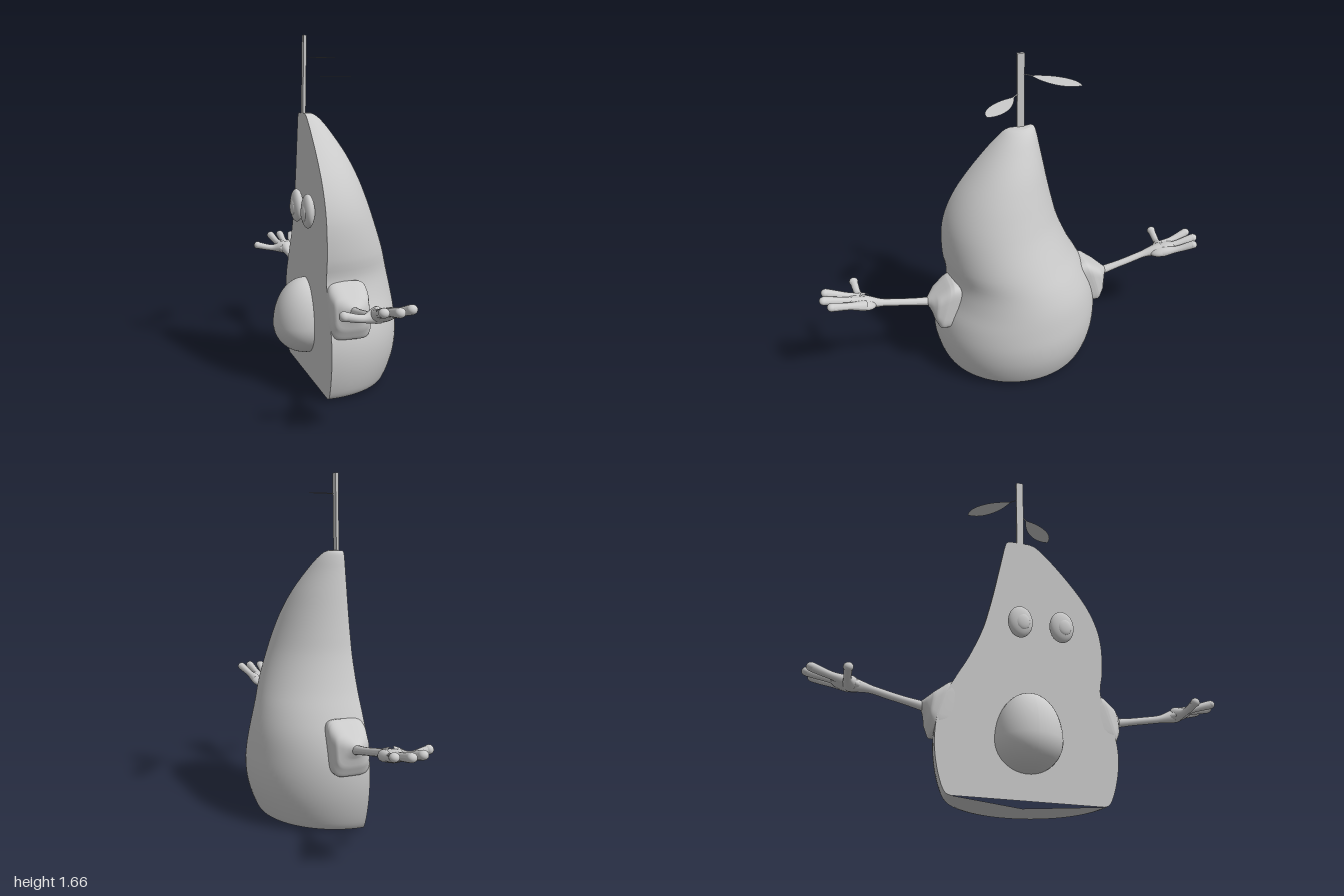
import * as THREE from 'three';
import { mergeVertices } from 'three/addons/utils/BufferGeometryUtils.js';

const V = (x, y, z) => new THREE.Vector3(x, y, z);
const material = new THREE.MeshStandardMaterial({ color: 0xcccccc, roughness: 0.7 });
const thin = new THREE.MeshStandardMaterial({ color: 0xcccccc, roughness: 0.7, side: THREE.DoubleSide });

function add(parent, name, geometry, mat = material) {
  const mesh = new THREE.Mesh(geometry, mat);
  mesh.name = name;
  parent.add(mesh);
  return mesh;
}

// Smooth grid surface from fn(u, v), u and v in 0..1
function sheet(nu, nv, fn) {
  const pos = [], idx = [];
  for (let j = 0; j <= nv; j++)
    for (let i = 0; i <= nu; i++) pos.push(...fn(i / nu, j / nv).toArray());
  for (let j = 0; j < nv; j++)
    for (let i = 0; i < nu; i++) {
      const a = j * (nu + 1) + i, b = a + nu + 1;
      idx.push(a, a + 1, b + 1, a, b + 1, b);
    }
  let g = new THREE.BufferGeometry();
  g.setAttribute('position', new THREE.Float32BufferAttribute(pos, 3));
  g.setIndex(idx);
  g = mergeVertices(g, 1e-5);
  g.computeVertexNormals();
  return g;
}

// Tube whose radius follows a list of values along its path
function limb(points, radii, segments = 24) {
  const curve = new THREE.CatmullRomCurve3(points);
  const g = new THREE.TubeGeometry(curve, segments, 1, 14);
  const p = g.attributes.position, v = V(0, 0, 0);
  for (let i = 0; i < p.count; i++) {
    const t = Math.floor(i / 15) / segments, c = curve.getPointAt(t);
    const f = t * (radii.length - 1), k = Math.min(Math.floor(f), radii.length - 2);
    const r = THREE.MathUtils.lerp(radii[k], radii[k + 1], THREE.MathUtils.smoothstep(f - k, 0, 1));
    v.fromBufferAttribute(p, i).sub(c).multiplyScalar(r).add(c);
    p.setXYZ(i, v.x, v.y, v.z);
  }
  g.computeVertexNormals();
  return g;
}

function ball(parent, name, c, rx, ry, rz) {
  const m = add(parent, name, new THREE.SphereGeometry(1, 32, 22));
  m.position.copy(c);
  m.scale.set(rx, ry, rz);
  return m;
}

// Body profile: height, +z edge, -z edge, furthest x
const profile = [
  [0.005, 0.355, -0.34, 0.20], [0.015, 0.38, -0.365, 0.228], [0.05, 0.40, -0.385, 0.25],
  [0.15, 0.427, -0.412, 0.285], [0.25, 0.435, -0.422, 0.297], [0.35, 0.42, -0.415, 0.29],
  [0.45, 0.38, -0.385, 0.275], [0.55, 0.358, -0.335, 0.25], [0.65, 0.372, -0.28, 0.218],
  [0.8, 0.37, -0.217, 0.162], [0.9, 0.345, -0.19, 0.127], [1.0, 0.295, -0.167, 0.09],
  [1.1, 0.22, -0.147, 0.045], [1.2, 0.13, -0.127, -0.015], [1.25, 0.078, -0.117, -0.05],
  [1.28, 0.04, -0.107, -0.08], [1.29, 0.01, -0.09, -0.1]
];
const edges = new THREE.CatmullRomCurve3(profile.map(([y, a, b]) => V(a, y, b)));
const back = new THREE.CatmullRomCurve3(profile.map(([y, , , x]) => V(x, y, 0)));
const faceX = y => -0.135 - 0.007 * y;

function bodyPoint(u, v) {
  const e = edges.getPoint(v), x0 = faceX(e.y), t = u * Math.PI;
  return V(x0 + (back.getPoint(v).x - x0) * Math.sin(t), e.y,
    (e.x + e.z) / 2 + (e.x - e.z) / 2 * Math.cos(t));
}

function buildBody(root) {
  const body = new THREE.Group();
  body.name = 'body';
  root.add(body);
  add(body, 'roundedSkin', sheet(48, 64, bodyPoint));
  add(body, 'flatFace', sheet(4, 64, (u, v) => bodyPoint(1, v).lerp(bodyPoint(0, v), u)));
  add(body, 'underside', sheet(48, 2, (u, v) => V(-0.02, 0, 0.01).lerp(bodyPoint(u, 0), v)));
  add(body, 'topCap', sheet(48, 2, (u, v) => bodyPoint(u, 1).lerp(V(-0.13, 1.291, -0.04), v)));
}

// Egg-shaped stone, taller above its widest line
function buildStone(root) {
  const g = new THREE.SphereGeometry(1, 40, 28), p = g.attributes.position;
  for (let i = 0; i < p.count; i++) {
    const y = p.getY(i);
    p.setXYZ(i, p.getX(i) * 0.155, y * (y > 0 ? 0.225 : 0.145), p.getZ(i) * 0.155);
  }
  g.computeVertexNormals();
  add(root, 'stone', g).position.set(-0.145, 0.27, 0);
}

function buildEyes(root) {
  for (const z of [-0.045, 0.16]) {
    const eye = new THREE.Group();
    eye.name = 'eye';
    root.add(eye);
    ball(eye, 'eyeball', V(-0.17, 0.845, z), 0.03, 0.08, 0.06);
    ball(eye, 'pupil', V(-0.19, 0.838, z + 0.006), 0.014, 0.042, 0.034);
  }
}

function buildStem(root) {
  const stem = add(root, 'stem', new THREE.BoxGeometry(0.014, 0.39, 0.035));
  stem.position.set(-0.133, 1.46, -0.037);
  stem.rotation.z = -0.018;
  for (const [y, z, tx, tz] of [[1.555, -0.045, 0.08, -0.255], [1.46, -0.025, 0.07, 0.18]]) {
    const dx = tx + 0.13, dz = tz - z, L = Math.hypot(dx, dz);
    // Outline: slim stalk, then a blade widest past the middle
    const s = new THREE.Shape();
    s.moveTo(0, -0.003);
    s.lineTo(0.05, -0.004);
    s.bezierCurveTo(0.12, -0.05, L - 0.05, -0.07, L, 0);
    s.bezierCurveTo(L - 0.05, 0.07, 0.12, 0.05, 0.05, 0.004);
    s.lineTo(0, 0.003);
    const g = new THREE.ShapeGeometry(s, 16);
    g.rotateX(-Math.PI / 2);
    g.rotateY(Math.atan2(-dz, dx));
    add(root, 'leaf', g, thin).position.set(-0.13, y, z);
  }
}

// Cuff rings: top z, top y, bottom z, bottom y, half width, squareness
const cuffRings = [
  [0.28, 0.54, 0.33, 0.30, 0.09, 0.4], [0.35, 0.55, 0.43, 0.302, 0.095, 0.4],
  [0.375, 0.54, 0.44, 0.31, 0.094, 0.45], [0.435, 0.495, 0.458, 0.35, 0.08, 0.55],
  [0.462, 0.475, 0.468, 0.39, 0.052, 0.8], [0.485, 0.457, 0.48, 0.415, 0.021, 1]
];

function buildArm(root, s) {
  const arm = new THREE.Group();
  arm.name = s > 0 ? 'leftArm' : 'rightArm';
  root.add(arm);
  const n = cuffRings.length - 1, cx = -0.045, drop = s > 0 ? 0 : 0.012;
  const soft = (c, e) => Math.sign(c) * Math.pow(Math.abs(c), e);
  add(arm, 'shoulderCuff', sheet(48, n * 4, (u, v) => {
    const f = v * n, k = Math.min(Math.floor(f), n - 1);
    const [tz, ty, bz, by, w, e] = cuffRings[k].map((a, i) => THREE.MathUtils.lerp(a, cuffRings[k + 1][i], f - k));
    const t = s * (u % 1) * Math.PI * 2, q = soft(Math.sin(t), e);
    return V(cx + w * soft(Math.cos(t), e), (ty + by) / 2 + q * (ty - by) / 2 - drop,
      s * ((tz + bz) / 2 + q * (tz - bz) / 2 - (s > 0 ? 0 : 0.012)));
  }));
  // Hand heights rise a little differently on each side
  const h = s > 0 ? [0.435, 0.487, 0.515, 0.548, 0.572] : [0.42, 0.477, 0.49, 0.508, 0.53];
  const P = (x, y, z) => V(x, y, s * z);
  add(arm, 'forearm', limb([P(cx, h[0], 0.45), P(-0.047, (h[0] + h[1]) / 2, 0.59),
    P(-0.05, h[1], 0.72), P(-0.045, h[2], 0.80)], [0.022, 0.018, 0.018, 0.034]));
  const palm = ball(arm, 'palm', P(-0.04, h[2], 0.805), 0.055, 0.028, 0.075);
  palm.rotation.x = -s * Math.atan2(h[3] - h[1], 0.16);
  // Three fingers
  for (const [bx, tx, tz] of [[-0.065, -0.093, 0.965], [-0.04, -0.033, 0.98], [-0.01, 0.028, 0.95]]) {
    const tip = P(tx, h[4], tz);
    add(arm, 'finger', limb([P(bx, h[2], 0.79), P(bx * 0.45 + tx * 0.55, h[3], 0.885), tip], [0.026, 0.018, 0.021]));
    ball(arm, 'fingertip', tip, 0.022, 0.02, 0.022);
  }
  // Thumb
  const tip = P(-0.205, h[2] + 0.012, 0.818);
  add(arm, 'thumb', limb([P(-0.05, h[2], 0.79), P(-0.12, h[2] - 0.006, 0.81), tip], [0.036, 0.017, 0.019]));
  ball(arm, 'thumbTip', tip, 0.02, 0.021, 0.022);
}

export function createModel() {
  const root = new THREE.Group();
  root.name = 'halfFruitFigure';
  buildBody(root);
  buildStone(root);
  buildEyes(root);
  buildStem(root);
  for (const s of [1, -1]) buildArm(root, s);
  return root;
}
